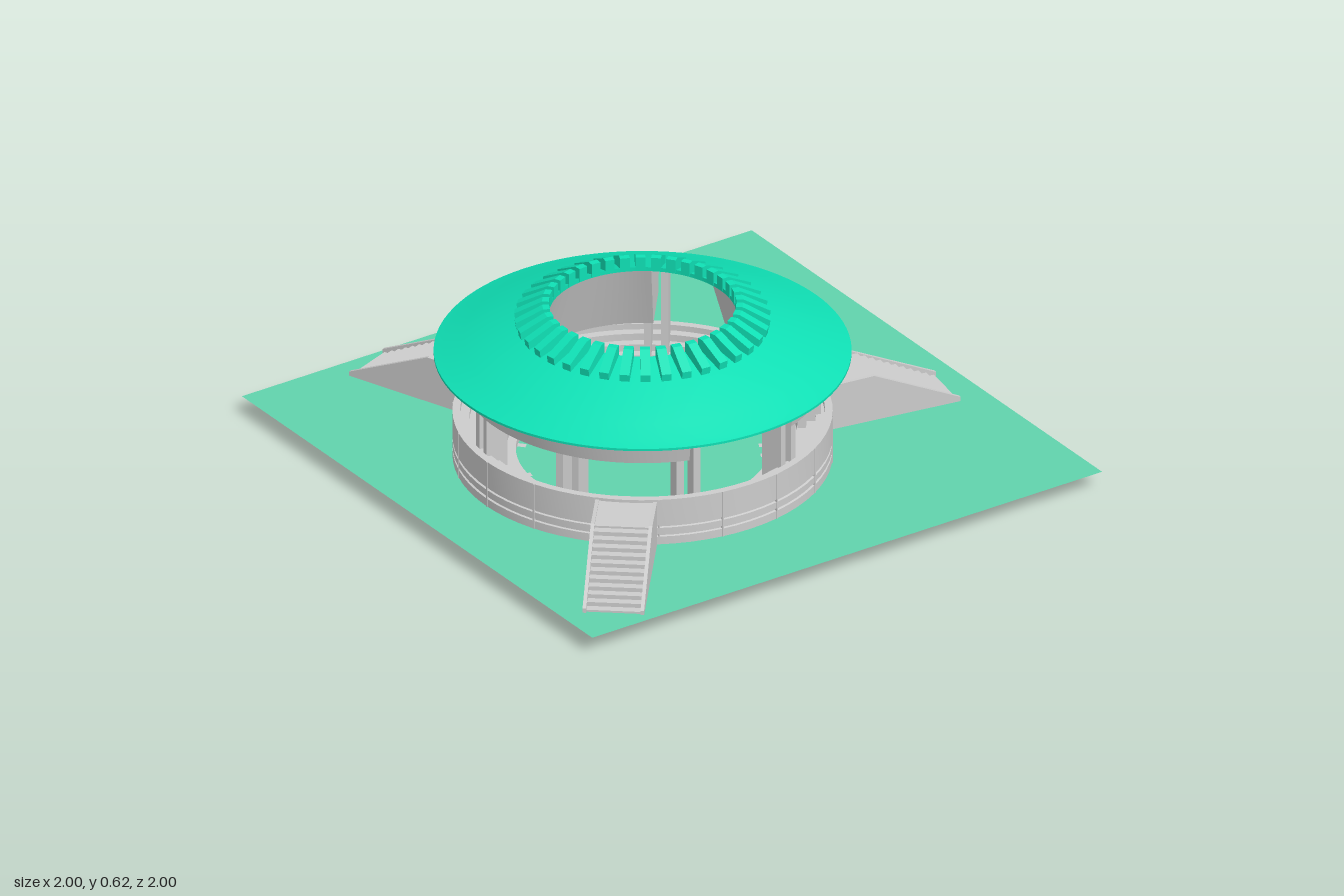
import * as THREE from 'three';
import { toCreasedNormals } from 'three/addons/utils/BufferGeometryUtils.js';

const material = (color) => new THREE.MeshStandardMaterial({ color, side: THREE.DoubleSide });
const grey = material(0xcccccc);
const roofGreen = material(0x0fe0b5);
const groundGreen = material(0x60d2ac);

const rad = THREE.MathUtils.degToRad;
const vectors = (pts) => pts.map(([r, y]) => new THREE.Vector2(r, y));

function add(parent, name, geometry, mat = grey) {
  const mesh = new THREE.Mesh(geometry, mat);
  mesh.name = name;
  parent.add(mesh);
  return mesh;
}

// Revolve a profile of [radius, height] points around the arena axis
function revolve(pts, segments = 72, start = 0, length = Math.PI * 2) {
  return toCreasedNormals(new THREE.LatheGeometry(vectors(pts), segments, start, length), 0.35);
}

// Extrude a [radius, height] outline to a thickness centred on a radial line
function slab(pts, width, offset = 0) {
  const geometry = new THREE.ExtrudeGeometry(new THREE.Shape(vectors(pts)), { depth: width, bevelEnabled: false });
  return geometry.translate(0, 0, offset - width / 2);
}

// Group whose local +x points outward at an angle, measured from +x towards +z
function spoke(parent, name, degrees) {
  const group = new THREE.Group();
  group.name = name;
  group.rotation.y = -rad(degrees);
  parent.add(group);
  return group;
}

const STAIR_ANGLE = 9.5;
const BAYS = 9;

function addStairs(parent, degrees) {
  const stairs = spoke(parent, 'staircase', degrees);
  const flat = 0.78, end = 1.08, top = 0.215, bottom = 0.06, count = 11;
  const steps = [[0.57, bottom], [0.57, top], [flat, top]];
  for (let i = 0; i < count; i++) {
    const r = flat + (end - flat) * (i + 1) / count;
    const y = top - (top - bottom) * (i + 0.5) / count;
    steps.push([r - (end - flat) / count, y], [r, y]);
  }
  steps.push([end, bottom]);
  add(stairs, 'landingAndSteps', slab(steps, 0.18));
  const side = [[0.57, bottom], [0.57, 0.218], [flat, 0.222], [end + 0.008, 0.075], [end + 0.008, bottom]];
  for (const s of [-1, 1]) add(stairs, 'stairSideWall', slab(side, 0.012, s * 0.094));
}

export function createModel() {
  const model = new THREE.Group();
  model.name = 'arena';

  // Ground sheet
  const ground = add(model, 'ground', new THREE.PlaneGeometry(2, 2), groundGreen);
  ground.rotation.x = -Math.PI / 2;
  ground.position.y = 0.06;

  const arena = new THREE.Group();
  arena.name = 'building';
  arena.position.set(-0.16, 0, 0.065);
  model.add(arena);

  // Foundation disc under the ground
  const disc = add(arena, 'foundationDisc', new THREE.CylinderGeometry(0.4, 0.4, 0.045, 64));
  disc.position.y = 0.03;

  // Outer wall with two shallow grooves, stepping down inside as seating
  const stand = [
    [0.58, 0.062], [0.615, 0.062], [0.615, 0.09], [0.608, 0.092], [0.608, 0.098], [0.615, 0.1],
    [0.615, 0.122], [0.608, 0.124], [0.608, 0.13], [0.615, 0.132], [0.615, 0.225], [0.59, 0.225],
  ];
  const rows = 6;
  for (let i = 0; i < rows; i++) {
    const y = 0.205 - 0.143 * i / rows;
    stand.push([0.59 - 0.18 * i / rows, y], [0.59 - 0.18 * (i + 1) / rows, y]);
  }
  stand.push([0.41, 0.062]);
  add(arena, 'wallAndSeating', revolve(stand));

  // Vertical joints that divide the wall into bays
  for (let i = 0; i < BAYS * 2; i++) {
    const bay = spoke(arena, 'wallJoint', STAIR_ANGLE + 20 * i + 10);
    add(bay, 'jointStrip', slab([[0.6, 0.062], [0.617, 0.062], [0.617, 0.225], [0.6, 0.225]], 0.006));
  }

  // Paired columns, carried below ground by long foundation fins
  for (let i = 0; i < BAYS; i++) {
    const pair = spoke(arena, 'columnPair', STAIR_ANGLE + 20 + 40 * i);
    for (const s of [-1, 1]) {
      add(pair, 'column', slab([[0.5, 0.06], [0.575, 0.06], [0.575, 0.46], [0.5, 0.485]], 0.024, s * 0.028));
      add(pair, 'foundationFin', slab([[0.38, 0], [0.58, 0], [0.58, 0.06], [0.38, 0.06]], 0.024, s * 0.035));
    }
  }

  // Three staircases and three hanging galleries, with an open bay between galleries
  const gallery = [[0.585, 0.345], [0.61, 0.45], [0.32, 0.565], [0.4, 0.33], [0.585, 0.345]];
  for (let i = 0; i < 3; i++) {
    addStairs(arena, STAIR_ANGLE + 120 * i);
    const middle = STAIR_ANGLE + 20 + 120 * (i + 1);
    add(arena, 'hangingGallery', revolve(gallery, 20, rad(90 - middle - 40), rad(80)));
    for (const s of [-1, 1]) {
      const cap = spoke(arena, 'galleryEnd', middle + 40 * s);
      add(cap, 'galleryEndWall', new THREE.ShapeGeometry(new THREE.Shape(vectors(gallery.slice(0, 4)))));
    }
  }

  // Ceiling and roof shell around the open centre
  add(arena, 'ceiling', revolve([[0.305, 0.572], [0.6, 0.452], [0.655, 0.438]], 96));
  add(arena, 'roof', revolve([
    [0.655, 0.438], [0.676, 0.438], [0.676, 0.446], [0.645, 0.457], [0.58, 0.485],
    [0.5, 0.517], [0.41, 0.55], [0.305, 0.586], [0.305, 0.572],
  ], 96), roofGreen);

  // Crown of ribs around the opening
  const rib = [[0.303, 0.575], [0.41, 0.54], [0.415, 0.575], [0.325, 0.622], [0.303, 0.622]];
  const ribs = 38;
  for (let i = 0; i < ribs; i++) {
    const arm = spoke(arena, 'crownRib', 360 * i / ribs);
    add(arm, 'rib', slab(rib, 0.032), roofGreen);
  }

  return model;
}
